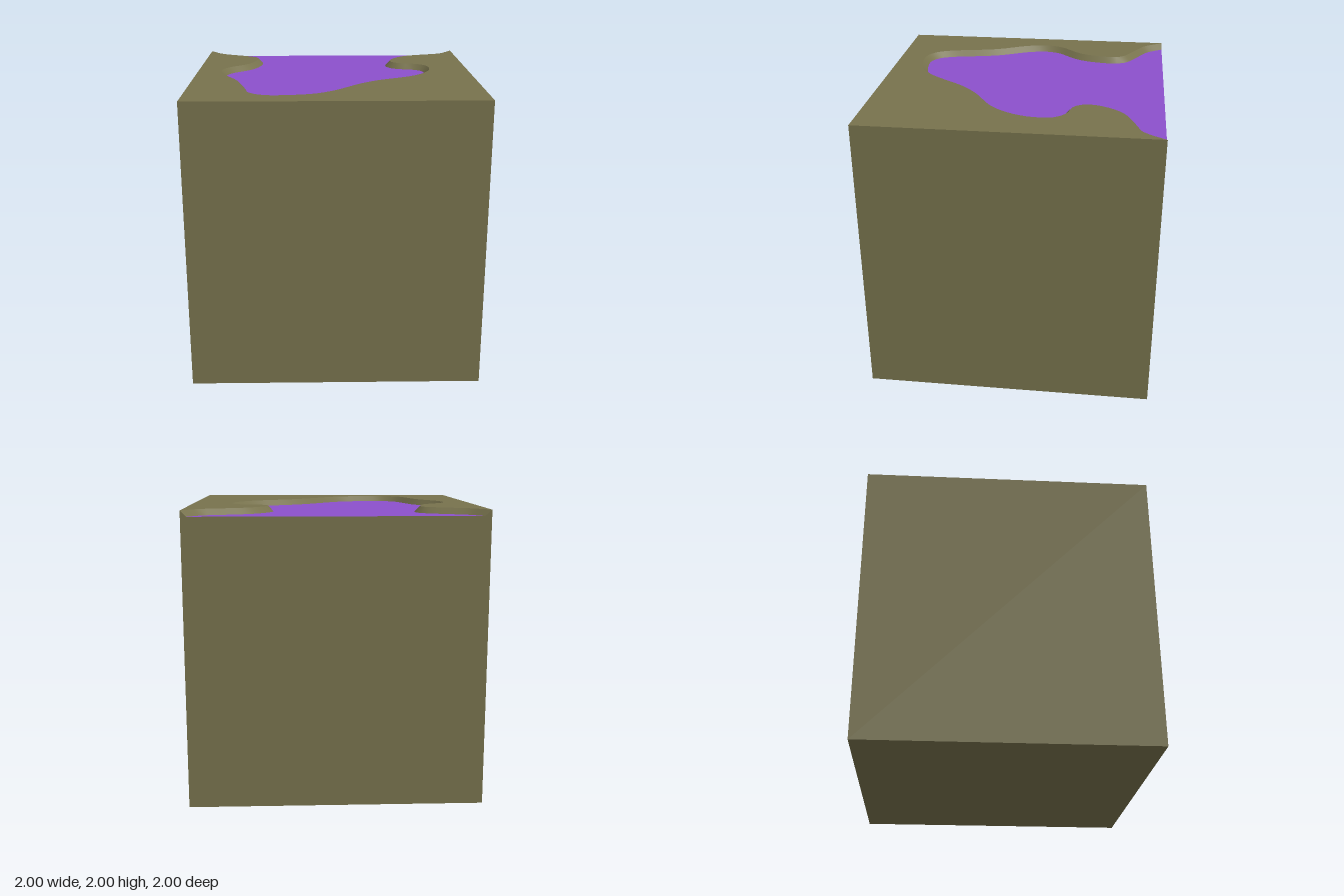
import * as THREE from 'three';

const DEPTH = 0.04, BEVEL = 0.037, STEPS = 110;

// Pool outline on the top face as x, z pairs, from the back left corner round to the back right
const RIM = [
  [-1, -1], [-0.9, -0.865], [-0.85, -0.83], [-0.63, -0.705], [-0.595, -0.66], [-0.593, -0.56],
  [-0.645, -0.38], [-0.8, -0.2], [-0.83, -0.08], [-0.8, 0.06], [-0.685, 0.3], [-0.6, 0.66],
  [-0.555, 0.745], [-0.48, 0.8], [-0.395, 0.815], [-0.15, 0.77], [-0.015, 0.67], [0.19, 0.415],
  [0.315, 0.305], [0.555, 0.155], [0.655, 0.04], [0.715, -0.1], [0.722, -0.23], [0.7, -0.295],
  [0.63, -0.355], [0.51, -0.39], [0.46, -0.45], [0.462, -0.55], [0.58, -0.72], [0.88, -0.845],
  [0.925, -0.89], [1, -1],
];

// Flat polygon from x, z points, facing up at the given height
function flatTop(points, y) {
  const shape = new THREE.Shape(points.map(([x, z]) => new THREE.Vector2(x, -z)));
  return new THREE.ShapeGeometry(shape).rotateX(-Math.PI / 2).translate(0, y, 0);
}

export function createModel() {
  const group = new THREE.Group();
  const rock = new THREE.MeshStandardMaterial({ color: 0x77724d });
  const liquid = new THREE.MeshStandardMaterial({ color: 0x8c50cc });
  const add = (name, geometry, material) => {
    const mesh = new THREE.Mesh(geometry, material);
    mesh.name = name;
    group.add(mesh);
  };

  // Smooth rim curve and the floor curve offset inwards from it
  const curve = new THREE.CatmullRomCurve3(RIM.map(([x, z]) => new THREE.Vector3(x, 0, z)));
  const rim = [], floor = [];
  for (let i = 0; i <= STEPS; i++) {
    const p = curve.getPointAt(i / STEPS), t = curve.getTangentAt(i / STEPS);
    rim.push([p.x, p.z]);
    floor.push([p.x + t.z * BEVEL, Math.max(-1, p.z - t.x * BEVEL)]);
  }
  floor[0] = [-0.955, -1];
  floor[STEPS] = [0.96, -1];

  // Sides and underside
  const side = () => new THREE.PlaneGeometry(2, 2);
  add('frontSide', side().translate(0, 1, 1), rock);
  add('leftSide', side().rotateY(Math.PI / 2).translate(1, 1, 0), rock);
  add('rightSide', side().rotateY(-Math.PI / 2).translate(-1, 1, 0), rock);
  add('underside', side().rotateX(Math.PI / 2), rock);

  // Back side, notched where the pool runs out to the edge
  const back = new THREE.Shape([
    [-1, 0], [1, 0], [1, 2], [0.955, 2 - DEPTH], [-0.96, 2 - DEPTH], [-1, 2],
  ].map(([x, y]) => new THREE.Vector2(x, y)));
  add('backSide', new THREE.ShapeGeometry(back).rotateY(Math.PI).translate(0, 0, -1), rock);

  // Top ground around the pool, and the pool surface
  add('topGround', flatTop([...rim, [1, 1], [-1, 1]], 2), rock);
  add('poolSurface', flatTop(floor, 2 - DEPTH), liquid);

  // Sloping bank between the ground and the pool
  const positions = [], index = [];
  for (let i = 0; i <= STEPS; i++) {
    positions.push(rim[i][0], 2, rim[i][1], floor[i][0], 2 - DEPTH, floor[i][1]);
    const a = i * 2;
    if (i < STEPS) index.push(a, a + 2, a + 1, a + 1, a + 2, a + 3);
  }
  const bank = new THREE.BufferGeometry();
  bank.setAttribute('position', new THREE.Float32BufferAttribute(positions, 3));
  bank.setIndex(index);
  bank.computeVertexNormals();
  add('poolBank', bank, rock);

  return group;
}
